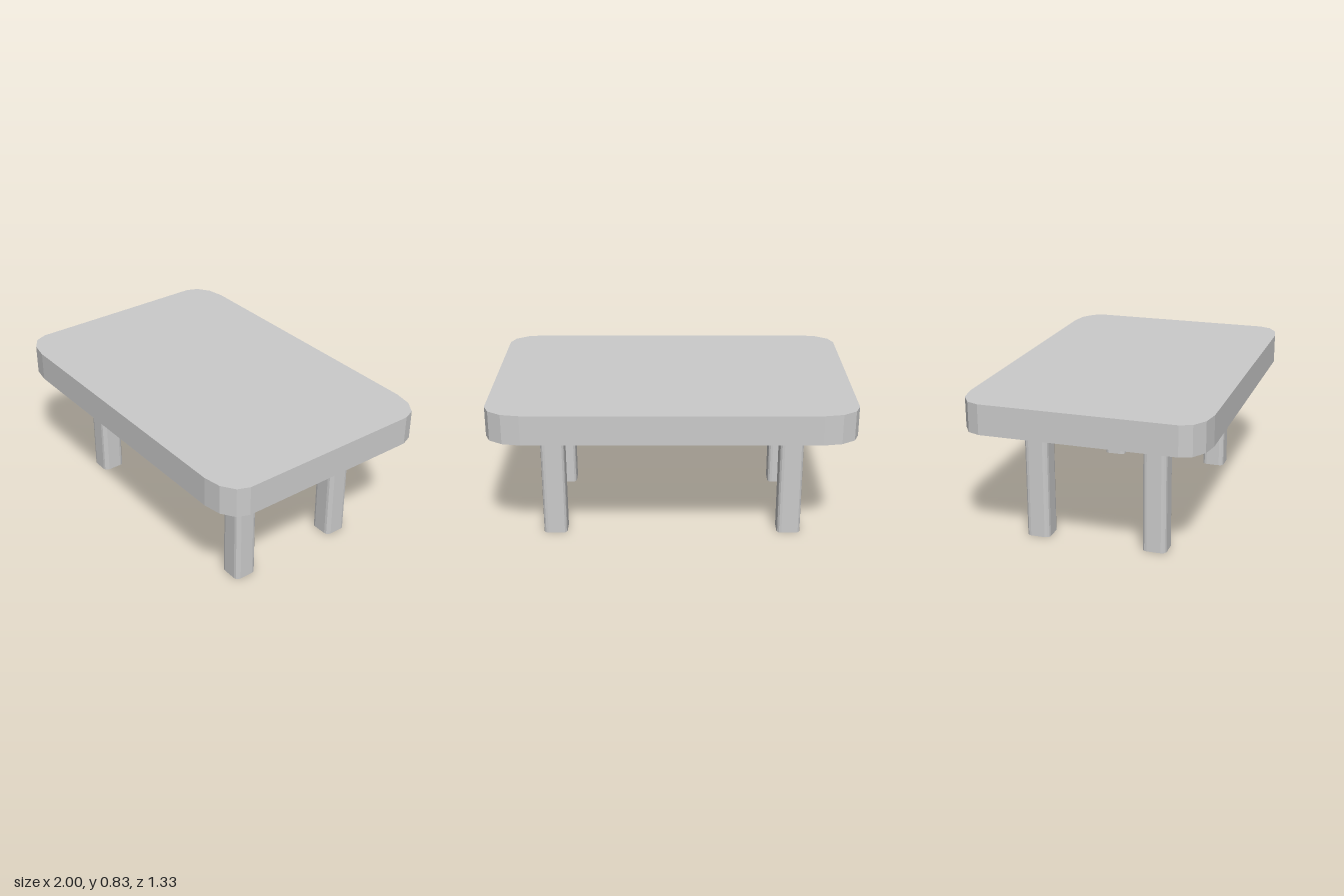
import * as THREE from 'three';

const material = new THREE.MeshStandardMaterial({ color: 0xcccccc, flatShading: true });

// Upright slab with faceted elliptical corners (three facets each), standing on y = 0
function roundedSlab(width, depth, height, rx, rz) {
  const points = [];
  for (let corner = 0; corner < 4; corner++) {
    const sx = corner === 0 || corner === 3 ? 1 : -1;
    const sz = corner < 2 ? 1 : -1;
    for (let i = 0; i <= 3; i++) {
      const a = (corner + i / 3) * Math.PI / 2;
      points.push(new THREE.Vector2(
        sx * (width / 2 - rx) + rx * Math.cos(a),
        sz * (depth / 2 - rz) + rz * Math.sin(a)));
    }
  }
  const geometry = new THREE.ExtrudeGeometry(new THREE.Shape(points), { depth: height, bevelEnabled: false });
  return geometry.rotateX(-Math.PI / 2);
}

export function createModel() {
  const table = new THREE.Group();
  table.name = 'table';
  const legHeight = 0.667;

  // Thick top
  const top = new THREE.Mesh(roundedSlab(2, 1.333, 0.167, 0.2, 0.133), material);
  top.name = 'tableTop';
  top.position.y = legHeight;
  table.add(top);

  // Four square legs with softened edges
  const legGeometry = roundedSlab(0.133, 0.133, legHeight, 0.0267, 0.0267);
  for (const [side, x] of [['Left', 0.667], ['Right', -0.667]]) {
    for (const [end, z] of [['front', 0.333], ['back', -0.333]]) {
      const leg = new THREE.Mesh(legGeometry, material);
      leg.name = `${end}${side}Leg`;
      leg.position.set(x, 0, z);
      table.add(leg);
    }
  }
  return table;
}
